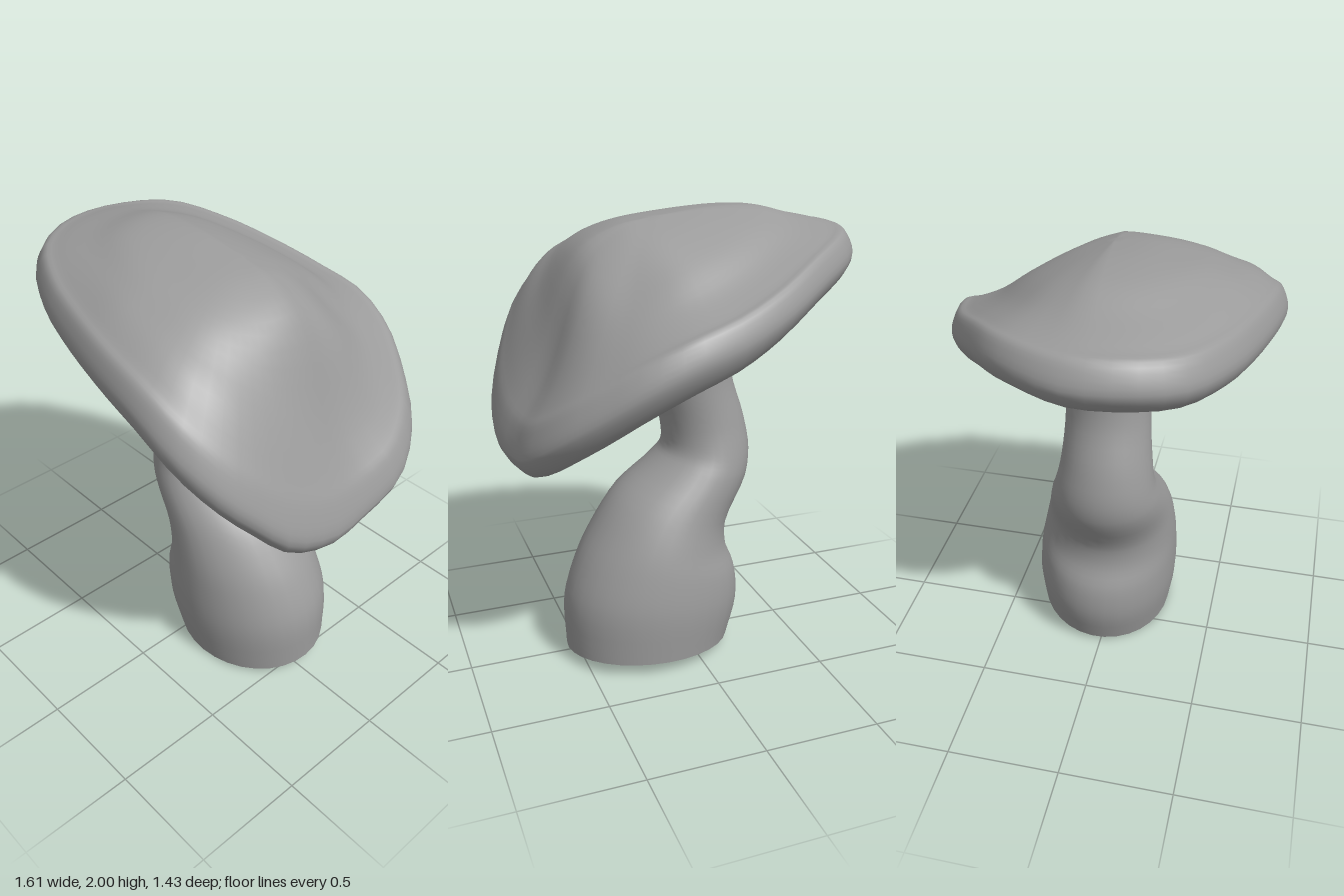
import * as THREE from 'three';
import { mergeVertices } from 'three/addons/utils/BufferGeometryUtils.js';

const V = (x, y, z) => new THREE.Vector3(x, y, z);

// Skin closed rings of points (listed bottom to top) with smooth normals
function loft(rings) {
  const n = rings[0].length, index = [];
  for (let i = 0; i < rings.length - 1; i++) {
    for (let j = 0; j < n; j++) {
      const k = (j + 1) % n;
      const a = i * n + j, b = i * n + k, c = (i + 1) * n + k, d = (i + 1) * n + j;
      index.push(a, d, c, a, c, b);
    }
  }
  const raw = new THREE.BufferGeometry().setFromPoints(rings.flat());
  raw.setIndex(index);
  const geometry = mergeVertices(raw, 1e-5);
  geometry.computeVertexNormals();
  return geometry;
}

// Bent stem: each section is [left x, left y, right x, right y, centre z, half depth, back lift]
function stemGeometry() {
  const sections = [
    [-0.20, 0.02, 0.56, 0.04, -0.045, 0.315, 0.03],
    [-0.25, 0.20, 0.56, 0.28, -0.035, 0.335, 0.03],
    [-0.245, 0.35, 0.50, 0.46, -0.025, 0.328, 0.02],
    [-0.20, 0.48, 0.42, 0.60, -0.015, 0.312, 0.01],
    [-0.205, 0.60, 0.30, 0.76, -0.005, 0.286, 0],
    [-0.305, 0.80, 0.13, 0.89, 0.005, 0.248, 0],
    [-0.325, 0.92, 0.075, 0.95, 0.01, 0.222, 0],
    [-0.30, 1.08, 0.075, 1.04, 0.015, 0.20, 0],
    [-0.235, 1.30, 0.12, 1.20, 0.01, 0.185, 0],
    [-0.235, 1.56, 0.22, 1.34, 0, 0.19, 0],
  ];
  const sides = 32, steps = 36;
  const columns = [];
  for (let j = 0; j < sides; j++) {
    const a = (j / sides) * Math.PI * 2, c = Math.cos(a), s = Math.sin(a);
    columns.push(new THREE.CatmullRomCurve3(sections.map(([lx, ly, rx, ry, cz, d, lift]) => V(
      (lx + rx) / 2 + c * (rx - lx) / 2,
      (ly + ry) / 2 + c * (ry - ly) / 2 - s * lift,
      cz + s * d))));
  }
  const rings = [];
  for (let i = 0; i <= steps; i++) rings.push(columns.map((col) => col.getPoint(i / steps)));
  return loft(rings);
}

// Swells and hollows on the cap: [height, direction, distance from centre]
const reliefs = [
  [0.06, 0.85, 0.78],   // front shoulder
  [0.035, 1.9, 0.72],   // front slope
  [0.025, 0.1, 0.48],   // brow above the droop
  [-0.09, -0.25, 0.76], // hollow in the droop
  [-0.05, -0.95, 0.52], // back slope
];
const relief = (angle, s) => reliefs.reduce((sum, [h, a, d]) =>
  sum + h * Math.exp(-4 * (angle - a) ** 2 - ((s - d) / 0.17) ** 2), 0);

// Drooping cap: a rim curve swept inward over the crown and under the gills
function capGeometry() {
  const rim = new THREE.CatmullRomCurve3([
    [-0.80, 1.79, 0], [-0.67, 1.79, -0.28], [-0.47, 1.73, -0.45], [-0.25, 1.64, -0.59],
    [-0.03, 1.56, -0.68], [0.18, 1.50, -0.72], [0.37, 1.41, -0.69], [0.53, 1.30, -0.61],
    [0.65, 1.21, -0.52], [0.73, 1.13, -0.41], [0.77, 1.08, -0.30], [0.78, 1.03, -0.10],
    [0.80, 1.03, 0.10], [0.78, 1.11, 0.33], [0.72, 1.25, 0.48], [0.64, 1.38, 0.60],
    [0.50, 1.52, 0.69], [0.30, 1.63, 0.71], [0.07, 1.68, 0.69], [-0.18, 1.71, 0.64],
    [-0.42, 1.74, 0.57], [-0.67, 1.77, 0.43], [-0.78, 1.79, 0.25],
  ].map((p) => V(...p)), true).getSpacedPoints(56).slice(0, -1);

  // Profile: x = distance from centre, y = blend to underside (-1) or crown (+1), z = lip thickness
  const profile = new THREE.CatmullRomCurve3([
    [0, -1, -0.02], [0.4, -0.62, -0.05], [0.75, -0.25, -0.085], [0.92, -0.06, -0.092], [1, 0, 0],
    [0.96, 0.06, 0.08], [0.88, 0.23, 0.06], [0.7, 0.58, 0.01], [0.5, 0.86, 0],
    [0.25, 0.98, 0], [0, 1, 0],
  ].map((p) => V(...p)));

  const cx = 0.12, rings = [];
  for (let i = 0; i <= 44; i++) {
    const { x: s, y: f, z: lip } = profile.getPoint(i / 44);
    rings.push(rim.map((r) => {
      const x = cx + (r.x - cx) * s, z = r.z * s;
      if (f <= 0) return V(x, r.y + (1.39 - 0.35 * x - r.y) * -f + lip, z);
      // crown falls away behind its ridge
      const crown = 1.985 - 0.13 * x - 0.32 * Math.max(0, -z);
      return V(x, r.y + (crown - r.y) * f + lip + relief(Math.atan2(r.z, r.x - cx), s), z);
    }));
  }
  return loft(rings);
}

export function createModel() {
  const group = new THREE.Group();
  group.name = 'mushroom';
  const color = 0x9c9c9c;

  const stem = new THREE.Mesh(stemGeometry(),
    new THREE.MeshStandardMaterial({ color, side: THREE.DoubleSide }));
  stem.name = 'stem';
  const cap = new THREE.Mesh(capGeometry(), new THREE.MeshStandardMaterial({ color }));
  cap.name = 'cap';
  group.add(stem, cap);
  return group;
}
